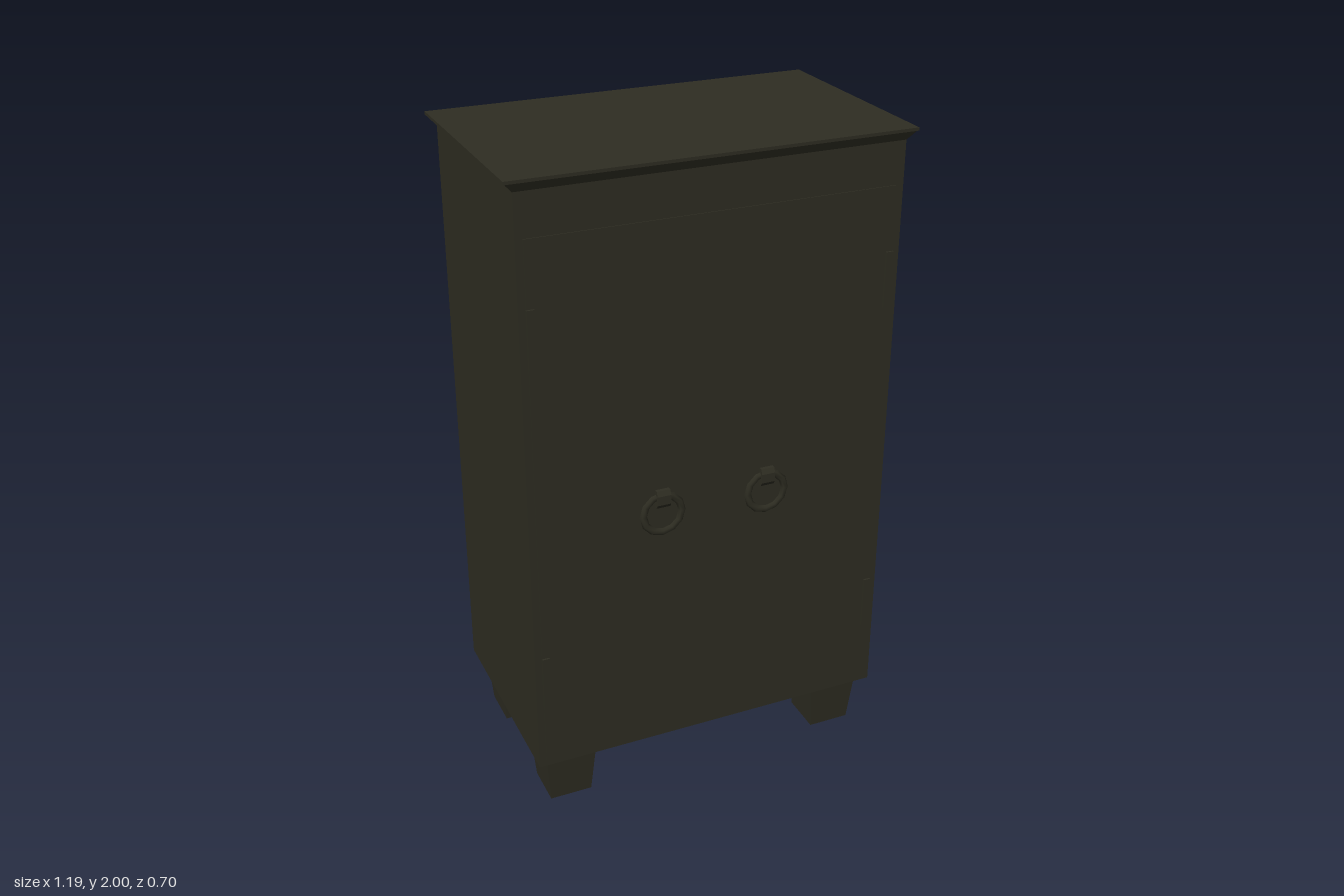
import * as THREE from 'three';

const darkWood = new THREE.MeshStandardMaterial({ color: 0x2e2d22 });
darkWood.name = 'darkWood';

// Box between two heights with different bottom and top footprints
function taperedBox(bottomW, bottomD, topW, topD, y0, y1) {
  const geo = new THREE.BoxGeometry(1, y1 - y0, 1);
  const p = geo.attributes.position;
  for (let i = 0; i < p.count; i++) {
    const top = p.getY(i) > 0;
    p.setX(i, p.getX(i) * (top ? topW : bottomW));
    p.setZ(i, p.getZ(i) * (top ? topD : bottomD));
  }
  geo.translate(0, (y0 + y1) / 2, 0);
  geo.computeVertexNormals();
  return geo;
}

export function createModel() {
  const model = new THREE.Group();
  model.name = 'cabinet';
  const add = (name, geo, x = 0, y = 0, z = 0, parent = model) => {
    const mesh = new THREE.Mesh(geo, darkWood);
    mesh.name = name;
    mesh.position.set(x, y, z);
    parent.add(mesh);
    return mesh;
  };
  const zMid = -0.003;
  const front = 0.33;

  // Carcass with a flared cornice and thin top slab
  add('body', taperedBox(1.13, 0.664, 1.13, 0.664, 0.17, 1.965), 0, 0, zMid);
  add('cornice', taperedBox(1.13, 0.664, 1.182, 0.694, 1.965, 1.993), 0, 0, zMid);
  add('topSlab', taperedBox(1.186, 0.697, 1.186, 0.697, 1.991, 2), 0, 0, zMid);

  // Tapered feet
  const foot = taperedBox(0.132, 0.132, 0.162, 0.162, 0, 0.172);
  for (const x of [-0.453, 0.453]) {
    for (const z of [-0.216, 0.219]) add('foot', foot, x, 0, z);
  }

  // Front door panel
  add('doorPanel', new THREE.BoxGeometry(1.086, 1.645, 0.006), 0, 1.0175, front - 0.001);

  // Hinges at both edges of the door
  const hinge = new THREE.BoxGeometry(0.022, 0.167, 0.012);
  for (const x of [-0.533, 0.533]) {
    for (const y of [0.477, 1.565]) add('hinge', hinge, x, y, front + 0.002);
  }

  // Ring pulls hanging from bent clasps
  const ring = new THREE.TorusGeometry(0.06, 0.0115, 6, 12);
  ring.scale(1, 1, 0.7);
  const profile = new THREE.Shape();
  profile.moveTo(0, -0.028);
  profile.lineTo(0.012, -0.028);
  profile.lineTo(0.02, -0.016);
  profile.lineTo(0.02, 0.012);
  profile.lineTo(0.013, 0.027);
  profile.lineTo(0, 0.027);
  const clasp = new THREE.ExtrudeGeometry(profile, { depth: 0.042, bevelEnabled: false });
  clasp.translate(0, 0, -0.021);
  clasp.rotateY(-Math.PI / 2);
  for (const x of [-0.165, 0.165]) {
    const handle = new THREE.Group();
    handle.name = 'handle';
    handle.position.set(x, 0, 0);
    add('pullRing', ring, 0, 0.962, front + 0.007, handle);
    add('ringClasp', clasp, 0, 1.013, front + 0.0005, handle);
    model.add(handle);
  }

  return model;
}
